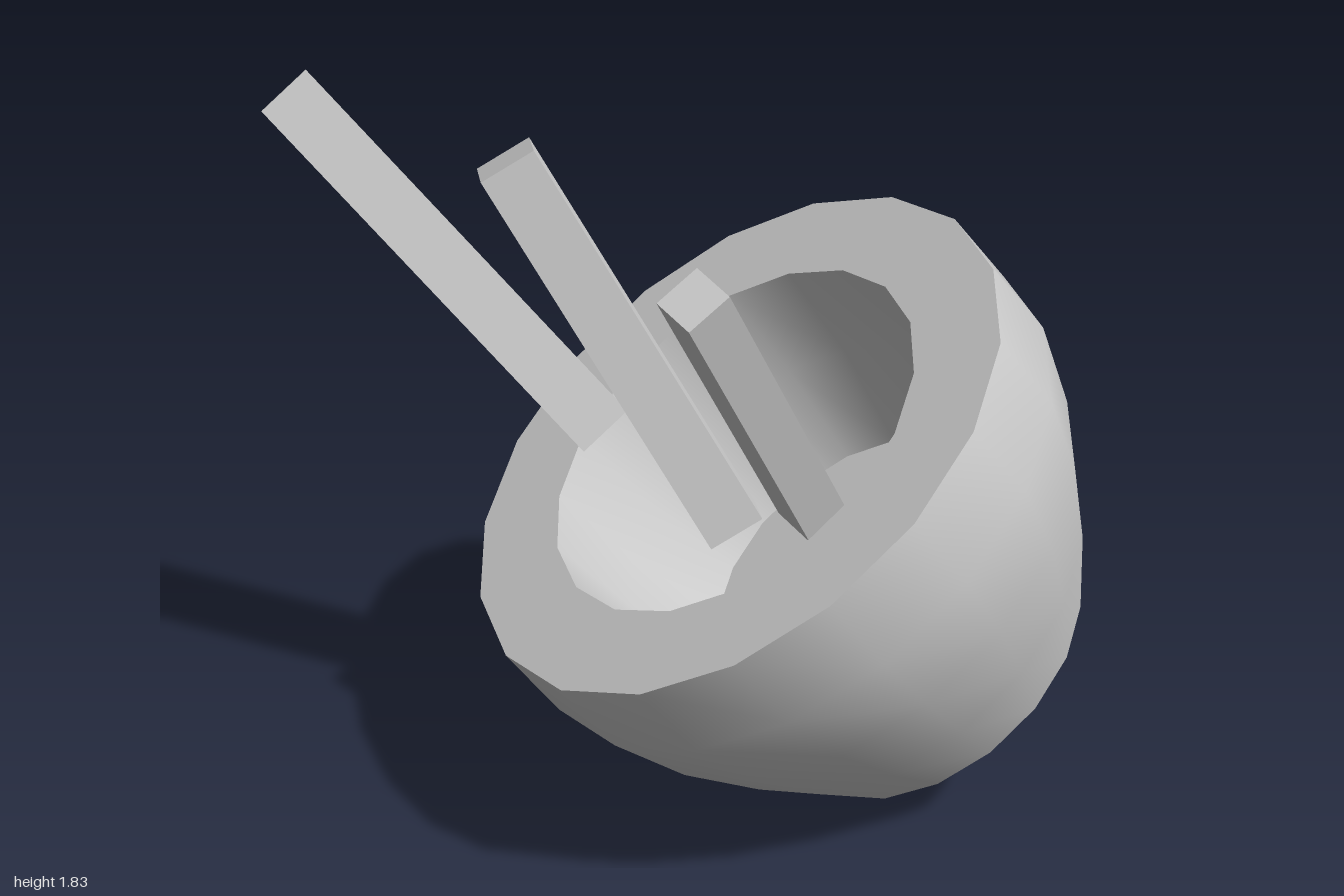
import * as THREE from 'three';

const material = new THREE.MeshStandardMaterial({ color: 0xcccccc });
const SIDES = 18;

function addMesh(parent, name, geometry) {
  const mesh = new THREE.Mesh(geometry, material);
  mesh.name = name;
  parent.add(mesh);
  return mesh;
}

// Surface of revolution from [radius, height] pairs
function lathe(points) {
  return new THREE.LatheGeometry(points.map(([r, h]) => new THREE.Vector2(r, h)), SIDES);
}

// Rotation with local y along `up` and local z (or x) close to `side`
function orient(object, up, side, sideIsX) {
  const y = new THREE.Vector3(...up).normalize();
  const s = new THREE.Vector3(...side);
  s.addScaledVector(y, -s.dot(y)).normalize();
  const x = sideIsX ? s : new THREE.Vector3().crossVectors(y, s);
  const z = sideIsX ? new THREE.Vector3().crossVectors(s, y) : s;
  object.quaternion.setFromRotationMatrix(new THREE.Matrix4().makeBasis(x, y, z));
  return y;
}

export function createModel() {
  const model = new THREE.Group();
  model.name = 'tiltedBowlWithSticks';

  // Thick bowl, tilted; separate surfaces keep its rims sharp
  const bowl = new THREE.Group();
  bowl.name = 'bowl';
  const H = 0.93;
  addMesh(bowl, 'bowlBase', lathe([[0, 0], [0.455, 0]]));
  addMesh(bowl, 'bowlOuterWall', lathe([[0.455, 0], [0.595, 0.235], [0.705, 0.465], [0.775, 0.7], [0.77, H]]));
  addMesh(bowl, 'bowlRim', lathe([[0.77, H], [0.53, H]]));
  addMesh(bowl, 'bowlInnerWall', lathe([[0.53, H], [0.5, 0.65], [0.42, 0.37]]));
  addMesh(bowl, 'bowlFloor', lathe([[0.42, 0.37], [0, 0.37]]));
  orient(bowl, [-0.558, 0.789, -0.259], [0.716, 0.615, 0.332], false);
  bowl.position.set(0.385, 0.285, 0.45);
  model.add(bowl);

  // Square sticks: centre of the top end, axis, one edge direction, size
  const sticks = [
    { name: 'longStick', top: [-0.517, 1.76, -0.923], axis: [-0.316, 0.719, -0.619], edge: [0.105, 0.09, 0.055], width: 0.15, length: 1.165 },
    { name: 'middleStick', top: [-0.405, 1.702, -0.275], axis: [-0.285, 0.865, -0.415], edge: [0.095, 0.065, 0.075], width: 0.148, length: 1.1 },
    { name: 'shortStick', top: [-0.385, 1.488, 0.302], axis: [-0.585, 0.8, 0.1], edge: [0.105, 0.07, 0.04], width: 0.128, length: 1.0 },
  ];
  for (const s of sticks) {
    const stick = addMesh(model, s.name, new THREE.BoxGeometry(s.width, s.length, s.width));
    const axis = orient(stick, s.axis, s.edge, true);
    stick.position.set(...s.top).addScaledVector(axis, -s.length / 2);
  }

  return model;
}
